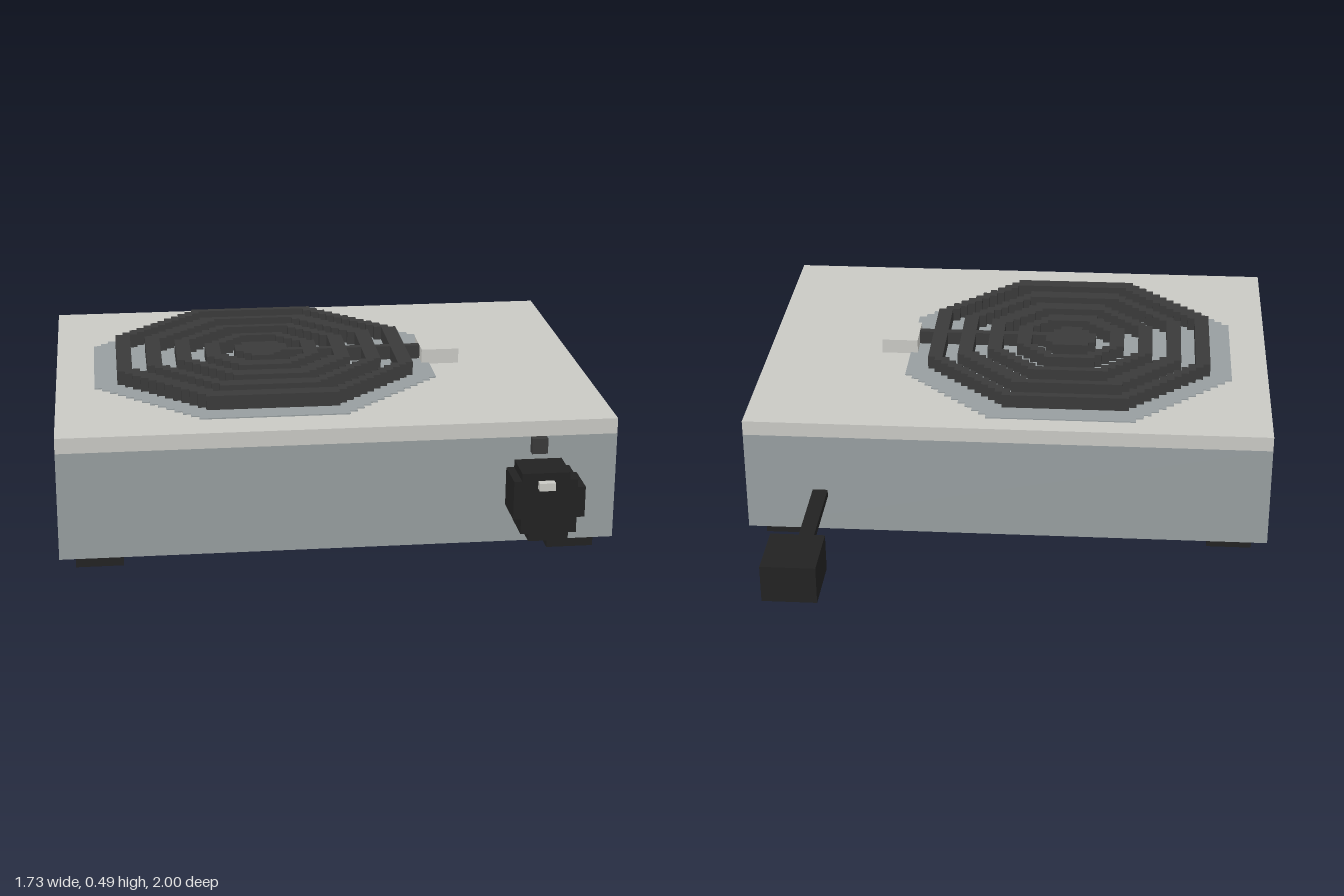
import * as THREE from 'three';
import { mergeGeometries } from 'three/addons/utils/BufferGeometryUtils.js';

const U = 2 / 81; // size of one block of the grid

function makeMaterial(name, color) {
  const m = new THREE.MeshStandardMaterial({ color });
  m.name = name;
  return m;
}

// Box geometry from its limits in blocks: [x0, x1], [y0, y1], [z0, z1]
function span([x0, x1], [y0, y1], [z0, z1]) {
  const g = new THREE.BoxGeometry((x1 - x0) * U, (y1 - y0) * U, (z1 - z0) * U);
  g.translate((x0 + x1) / 2 * U, (y0 + y1) / 2 * U, (z0 + z1) / 2 * U);
  return g;
}

// Stepped octagonal ring or disc, built from one box per run of blocks in each row
const CX = -7.4, CZ = 7.3;
function octagon(inner, outer, y0, y1) {
  const inside = (x, z) => {
    const dx = Math.abs(x - CX), dz = Math.abs(z - CZ);
    const d = Math.max(dx, dz, (dx + dz) * Math.SQRT1_2);
    return d >= inner && d <= outer;
  };
  const boxes = [];
  for (let z = -16; z <= 31; z++) {
    let start = null;
    for (let x = -31.5; x <= 17; x++) {
      const on = inside(x, z);
      if (on && start === null) start = x - 0.5;
      if (!on && start !== null) {
        boxes.push(span([start, x - 0.5], [y0, y1], [z - 0.5, z + 0.5]));
        start = null;
      }
    }
  }
  return mergeGeometries(boxes);
}

export function createModel() {
  const group = new THREE.Group();
  group.name = 'hotPlate';
  const steel = makeMaterial('steel grey', 0x979ea0);
  const pale = makeMaterial('pale grey', 0xc9c9c4);
  const black = makeMaterial('black', 0x222222);
  const coil = makeMaterial('coil grey', 0x3a3a3a);

  const add = (name, geometry, material) => {
    const mesh = new THREE.Mesh(geometry, material);
    mesh.name = name;
    group.add(mesh);
  };

  // Housing and top plate
  add('body', span([-35, 35], [2, 16], [-17.5, 34.5]), steel);
  add('topPlate', span([-35, 35], [16, 18], [-17.5, 34.5]), pale);

  // Feet
  for (const x of [-33, 27])
    for (const z of [-15.5, 27.5])
      add('foot', span([x, x + 6], [0, 2], [z, z + 5]), black);

  // Drip pan set flush in the plate, heating rings, hub and lead
  add('dripPan', octagon(0, 22.15, 18, 18.15), steel);
  for (const r of [7.15, 11.15, 15.15, 19.15])
    add('heatingRing', octagon(r - 1.65, r, 18, 20), coil);
  add('hub', octagon(0, 3.15, 18, 20), coil);
  add('coilLead', span([-4, 14], [18, 20], [7.5, 8.5]), coil);
  add('terminalBlock', span([14, 19], [18, 20], [4.5, 10.5]), pale);

  // Round stepped knob: [x0, x1, y0, y1] bands from bottom to top
  const bands = [[23, 28, 4, 5], [22, 29, 5, 7], [21, 30, 7, 11], [21, 29, 11, 12], [22, 28, 12, 13]];
  add('knob', mergeGeometries(bands.map(([x0, x1, y0, y1]) =>
    span([x0, x1], [y0, y1], [34.5, 39.5]))), black);
  add('knobPointer', span([24, 26], [11, 12], [39.5, 40.5]), pale);
  add('indicator', span([24, 26], [14, 16], [34.5, 35.5]), coil);

  // Power cable and plug at the back
  add('cable', span([24, 26], [7, 8], [-32.5, -17.5]), black);
  add('plug', span([22, 29], [5, 10], [-40.5, -32.5]), black);

  return group;
}
